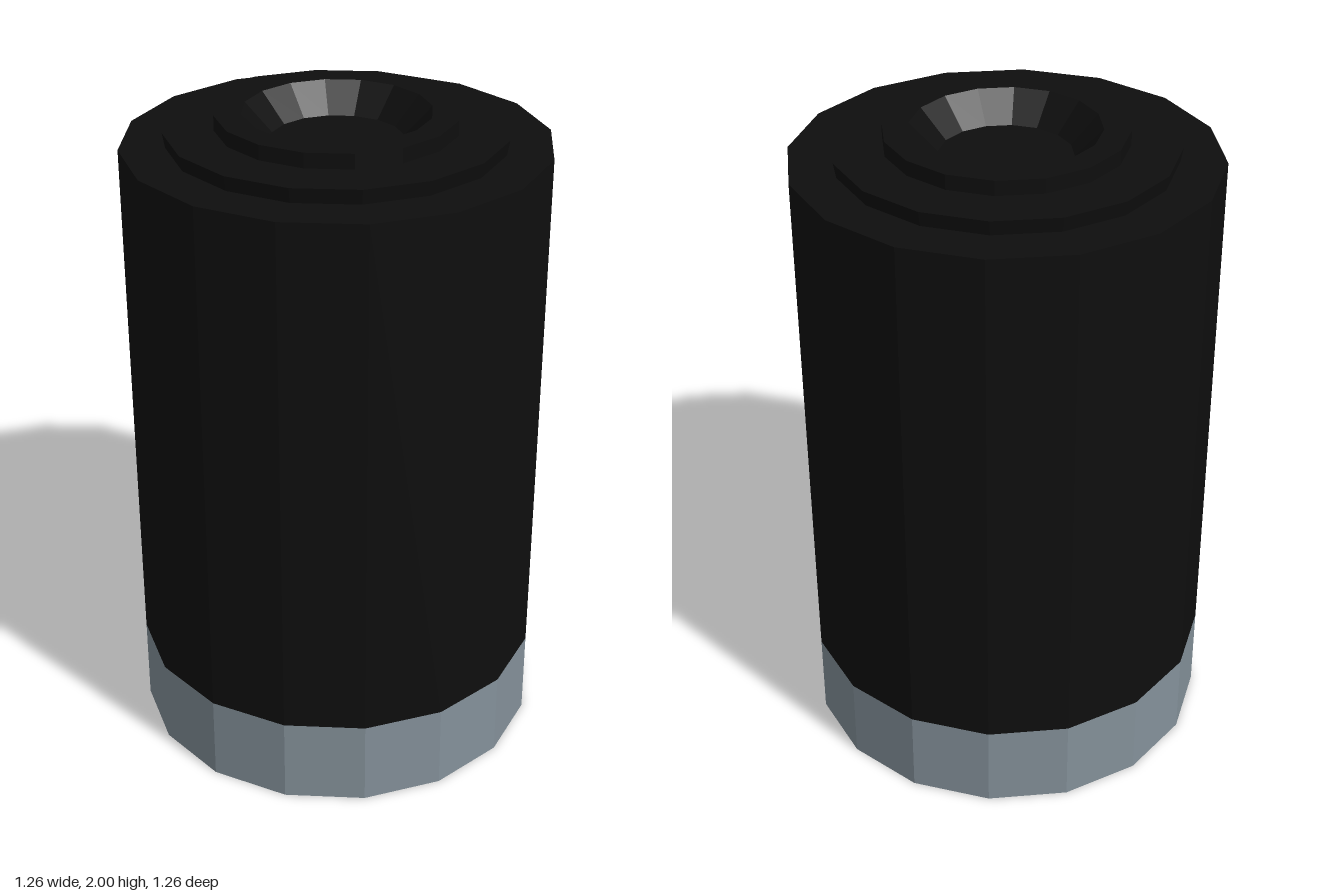
import * as THREE from 'three';

const SIDES = 16;

// Surface of revolution; points run outward along the bottom, up, then inward on top
function turned(name, points, material) {
  const profile = points.map(([r, y]) => new THREE.Vector2(r, y));
  const mesh = new THREE.Mesh(new THREE.LatheGeometry(profile, SIDES), material);
  mesh.name = name;
  return mesh;
}

export function createModel() {
  const black = new THREE.MeshStandardMaterial({ color: 0x0e0e0e, flatShading: true });
  black.name = 'black casing';
  const steel = new THREE.MeshStandardMaterial({ color: 0x84919a, flatShading: true });
  steel.name = 'blue grey metal';

  const model = new THREE.Group();
  model.name = 'canister';

  // Metal band with closed underside
  model.add(turned('baseBand', [[0, 0], [0.63, 0], [0.63, 0.27]], steel));

  // Main barrel up to its shoulder
  model.add(turned('barrel', [[0.63, 0.27], [0.63, 1.91], [0.495, 1.91]], black));

  // Stepped cap: wide ring, then narrow ring
  model.add(turned('capStep', [[0.495, 1.91], [0.503, 1.955], [0.355, 1.955]], black));
  model.add(turned('capRim', [[0.355, 1.955], [0.355, 2], [0.277, 2]], black));

  // Tapered recess with flat floor
  model.add(turned('recess', [[0.277, 2], [0.196, 1.915], [0, 1.915]], black));

  return model;
}
